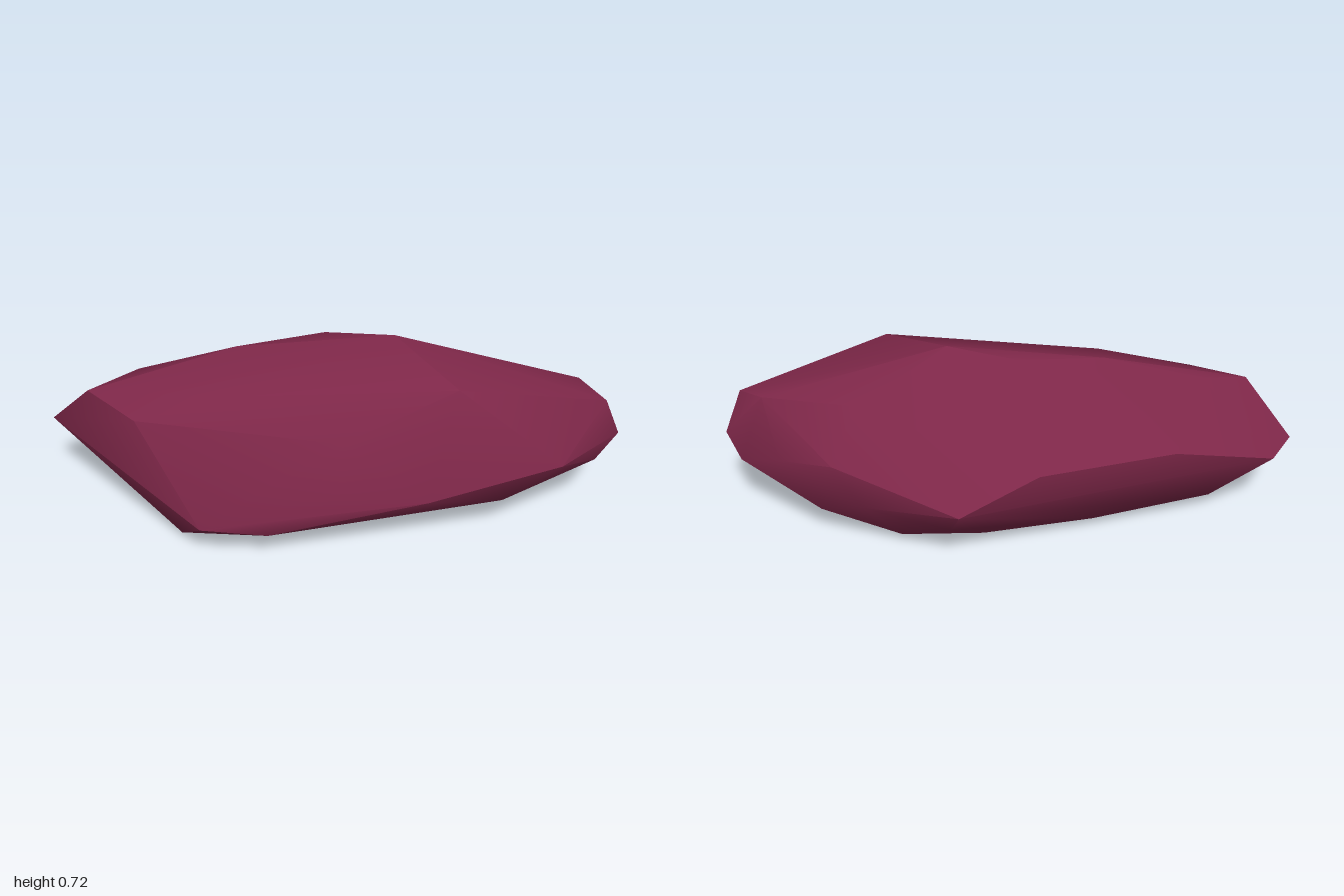
import * as THREE from 'three';
import { ConvexGeometry } from 'three/addons/geometries/ConvexGeometry.js';
import { toCreasedNormals } from 'three/addons/utils/BufferGeometryUtils.js';

// Corners of the faceted stone, grouped by side
const tips = [[-1, 0.33, 0], [1, 0.355, 0.02]];
const crest = [
  [-0.84, 0.52, 0.1], [-0.67, 0.567, 0.025], [-0.33, 0.66, 0.01], [-0.03, 0.69, -0.05],
  [0.21, 0.717, 0], [0.85, 0.54, -0.04], [0.94, 0.51, 0.05],
];
const frontFace = [
  [-0.66, 0.49, 0.23], [-0.32, 0.58, 0.2], [0.43, 0.64, 0.21], [0.05, 0.48, 0.31],
  [0.05, 0.33, 0.375], [0.34, 0.29, 0.37], [0.79, 0.36, 0.235],
  [-0.43, 0.175, 0.415], [-0.2, 0.145, 0.395],
];
const backFace = [
  [-0.93, 0.3, -0.09], [-0.57, 0.41, -0.21], [-0.1, 0.42, -0.35], [0.17, 0.3, -0.42],
  [0.52, 0.56, -0.13], [0.6, 0.4, -0.26], [0.79, 0.36, -0.165],
  [0.2, 0.19, -0.34], [0.5, 0.25, -0.29],
];
const underside = [
  [-0.73, 0.075, 0], [-0.52, 0.03, 0.255], [-0.11, 0.025, 0.12], [-0.3, 0.055, -0.11],
  [0.09, 0, -0.12], [0.38, 0.045, -0.18], [0.38, 0.045, 0.03], [0.09, 0.095, 0.225],
  [0.66, 0.15, -0.165], [0.66, 0.12, 0.04], [0.6, 0.18, 0.2],
  [0.94, 0.295, -0.065], [0.92, 0.28, 0.08],
];

export function createModel() {
  const group = new THREE.Group();
  group.name = 'stone';
  const plum = new THREE.MeshStandardMaterial({ color: 0x7d2748 });
  plum.name = 'plum';

  // Convex body, smooth across shallow facets and sharp on the ridges
  const corners = [...tips, ...crest, ...frontFace, ...backFace, ...underside]
    .map((p) => new THREE.Vector3(...p));
  const geometry = toCreasedNormals(new ConvexGeometry(corners), 0.7);
  const body = new THREE.Mesh(geometry, plum);
  body.name = 'stoneBody';
  group.add(body);
  return group;
}
